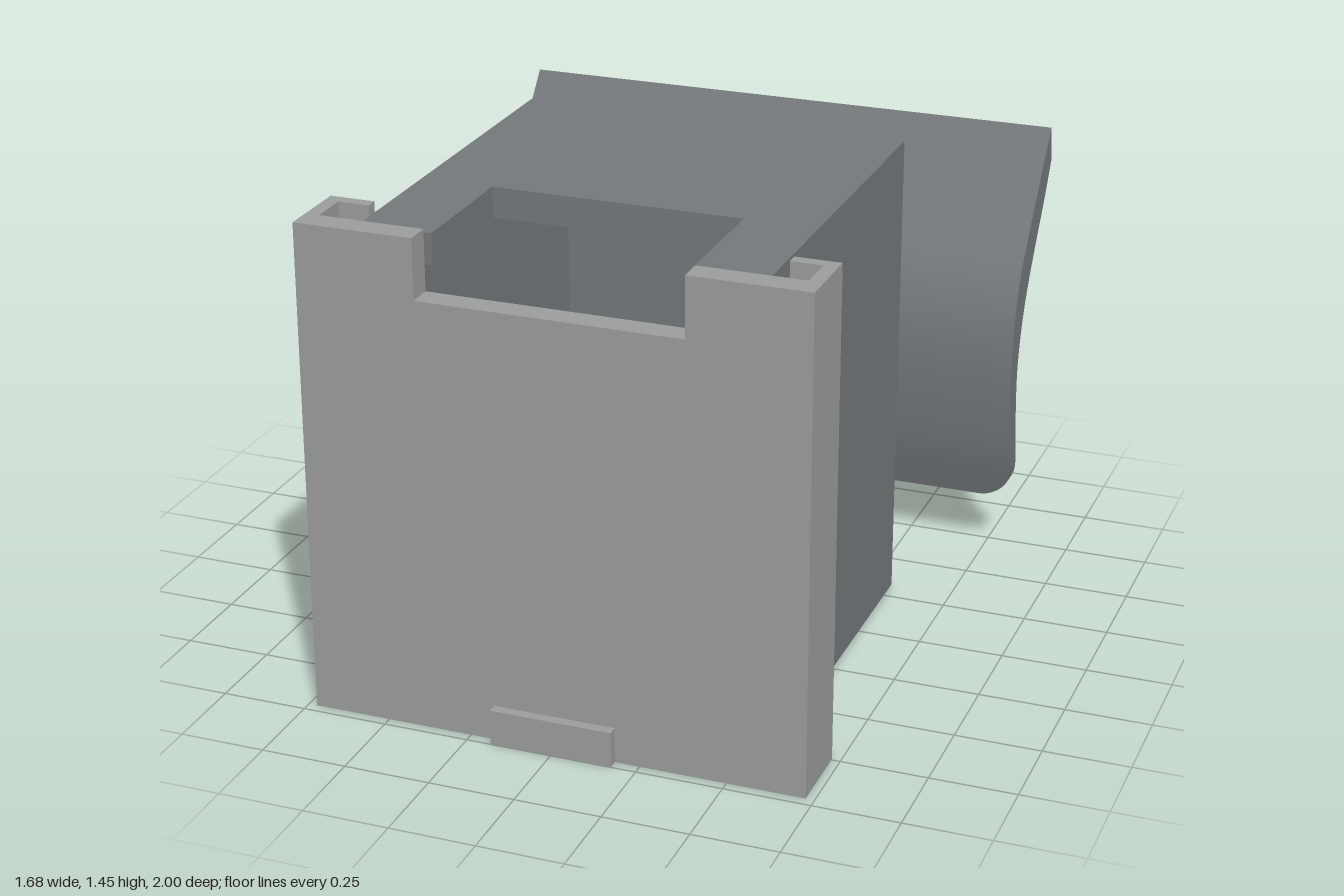
import * as THREE from 'three';
import { toCreasedNormals } from 'three/addons/utils/BufferGeometryUtils.js';

const body = new THREE.MeshStandardMaterial({ color: 0x73777a });
body.name = 'dark grey';
const pale = new THREE.MeshStandardMaterial({ color: 0x999c9b });
pale.name = 'light grey';

const polygon = (pts) => new THREE.Shape(pts.map(([x, y]) => new THREE.Vector2(x, y)));

// Outline in (x, z), raised from y0 to y1
function upright(shape, y0, y1) {
  const g = new THREE.ExtrudeGeometry(shape, { depth: y1 - y0, bevelEnabled: false });
  return g.rotateX(Math.PI / 2).translate(0, y1, 0);
}

// Outline in (z, y), extended from x0 to x1
function sideways(shape, x0, x1) {
  const g = new THREE.ExtrudeGeometry(shape, { depth: x1 - x0, bevelEnabled: false });
  return g.rotateY(-Math.PI / 2).translate(x1, 0, 0);
}

function block(x0, x1, y0, y1, z0, z1) {
  return new THREE.BoxGeometry(x1 - x0, y1 - y0, z1 - z0)
    .translate((x0 + x1) / 2, (y0 + y1) / 2, (z0 + z1) / 2);
}

// Curved panel: one four-cornered section per station, lower corners rounded
function panelGeometry() {
  const curve = (pts) => new THREE.CatmullRomCurve3(pts.map(([z, y]) => new THREE.Vector3(0, y, z)), false, 'centripetal');
  const front = curve([[-0.956, 1.296], [-0.86, 1.18], [-0.75, 1.045], [-0.655, 0.91], [-0.612, 0.79], [-0.597, 0.66], [-0.605, 0.5], [-0.63, 0.34], [-0.677, 0.182]]);
  const back = curve([[-0.976, 1.19], [-0.91, 1.085], [-0.82, 0.96], [-0.745, 0.845], [-0.695, 0.735], [-0.668, 0.61], [-0.672, 0.48], [-0.69, 0.34], [-0.715, 0.195]]);
  const n = 40, pos = [], idx = [];
  for (let i = 0; i <= n; i++) {
    const t = Math.sin((i / n) * Math.PI / 2);
    for (const [c, s] of [[front, 1], [front, -1], [back, -1], [back, 1]]) {
      const p = c.getPoint(t);
      const d = THREE.MathUtils.clamp((0.30 - p.y) / 0.12, 0, 1);
      pos.push(s * (0.72 + 0.12 * Math.sqrt(1 - d * d)), p.y, p.z);
    }
    if (i === n) break;
    for (let k = 0; k < 4; k++) {
      const a = i * 4 + k, b = i * 4 + (k + 1) % 4;
      idx.push(a, b, a + 4, b, b + 4, a + 4);
    }
  }
  const e = n * 4;
  idx.push(0, 2, 1, 0, 3, 2, e, e + 1, e + 2, e, e + 2, e + 3);
  const g = new THREE.BufferGeometry();
  g.setAttribute('position', new THREE.Float32BufferAttribute(pos, 3));
  g.setIndex(idx);
  g.computeVertexNormals();
  return toCreasedNormals(g, 0.5);
}

function roundedRect(w, y0, y1, r) {
  const s = new THREE.Shape();
  s.moveTo(-w + r, y0).lineTo(w - r, y0);
  s.absarc(w - r, y0 + r, r, -Math.PI / 2, 0);
  s.absarc(w - r, y1 - r, r, 0, Math.PI / 2);
  s.absarc(-w + r, y1 - r, r, Math.PI / 2, Math.PI);
  s.absarc(-w + r, y0 + r, r, Math.PI, Math.PI * 1.5);
  return s;
}

export function createModel() {
  const model = new THREE.Group();
  model.name = 'clipOnBox';
  const add = (name, geometry, material = body) => {
    const m = new THREE.Mesh(geometry, material);
    m.name = name;
    model.add(m);
  };

  // Hollow box, open at the front, with a slot in its top
  add('boxFloor', block(-0.575, 0.575, 0.02, 0.11, -0.29, 0.88));
  add('boxWalls', upright(polygon([
    [-0.575, -0.29], [0.575, -0.29], [0.575, 0.88], [0.43, 0.88],
    [0.43, -0.2], [-0.43, -0.2], [-0.43, 0.88], [-0.575, 0.88],
  ]), 0.11, 1.34));
  add('boxTop', upright(polygon([
    [-0.575, -0.29], [0.575, -0.29], [0.575, 0.88], [0.365, 0.88],
    [0.365, 0.485], [-0.365, 0.485], [-0.365, 0.88], [-0.575, 0.88],
  ]), 1.34, 1.43));

  // Sliding front cover, wrapped round the rails
  add('cover', upright(polygon([
    [-0.725, 0.97], [-0.725, 0.745], [-0.595, 0.745], [-0.595, 0.78], [-0.685, 0.78], [-0.685, 0.895],
    [0.685, 0.895], [0.685, 0.78], [0.595, 0.78], [0.595, 0.745], [0.725, 0.745], [0.725, 0.97],
  ]), 0, 1.27), pale);
  add('coverGrip', block(-0.178, 0.178, 0, 0.105, 0.97, 1), pale);

  for (const s of [-1, 1]) {
    const span = (a, b) => (s > 0 ? [a, b] : [-b, -a]);
    add('coverShoulder', upright(polygon([
      [0.38, 0.97], [0.38, 0.895], [0.685, 0.895], [0.685, 0.78],
      [0.595, 0.78], [0.595, 0.745], [0.725, 0.745], [0.725, 0.97],
    ].map(([x, z]) => [x * s, z])), 1.27, 1.445), pale);
    add('coverChannelStop', block(...span(0.595, 0.685), 0, 0.02, 0.78, 0.895), pale);

    // Rail with a small T-shaped edge
    add('rail', block(...span(0.575, 0.64), 0.03, 1.4, 0.8, 0.838));
    add('railNeck', block(...span(0.64, 0.65), 0.03, 1.4, 0.813, 0.825));
    add('railEdge', block(...span(0.65, 0.662), 0.03, 1.4, 0.805, 0.833));

    // Hooks on the back of the panel
    add('topHook', sideways(polygon([
      [-0.94, 1.14], [-0.974, 1.2], [-1, 1.07], [-0.968, 1.062], [-0.95, 1.12],
    ]), ...span(0.4, 0.635)));
    add('sideHook', sideways(polygon([
      [-0.66, 0.475], [-0.817, 0.5], [-0.845, 0.325], [-0.67, 0.295],
    ]), ...span(0.7, 0.75)));
    add('sideHookLip', sideways(polygon([
      [-0.78, 0.492], [-0.817, 0.5], [-0.845, 0.325], [-0.803, 0.318],
    ]), ...span(0.67, 0.7)));
  }

  // Dovetail tongue on the box and the grooved plate that slides over it
  add('dovetailTongue', upright(polygon([
    [-0.255, -0.29], [-0.355, -0.412], [0.355, -0.412], [0.255, -0.29],
  ]), 0.255, 1.19));
  add('mountPlateBase', block(-0.49, 0.49, 0.075, 0.255, -0.54, -0.305));
  add('mountPlate', upright(polygon([
    [-0.49, -0.305], [-0.49, -0.54], [0.49, -0.54], [0.49, -0.305], [0.275, -0.305],
    [0.37, -0.42], [0.363, -0.436], [0.345, -0.416],
    [-0.345, -0.416], [-0.363, -0.436], [-0.37, -0.42], [-0.275, -0.305],
  ]), 0.255, 1.31));

  // Neck between the plate and the curved panel
  const neck = new THREE.ExtrudeGeometry(roundedRect(0.428, 0.39, 0.96, 0.04), { depth: 0.12, bevelEnabled: false });
  add('neck', toCreasedNormals(neck.translate(0, 0, -0.657), 0.5));
  add('curvedPanel', panelGeometry());

  // Springy catch under the panel
  add('bottomCatch', sideways(polygon([
    [-0.68, 0.29], [-0.72, 0.295], [-0.79, 0.275], [-0.832, 0.22], [-0.812, 0.14], [-0.834, 0.112],
    [-0.795, 0.05], [-0.752, 0.082], [-0.757, 0.18], [-0.715, 0.22], [-0.68, 0.23],
  ]), -0.12, 0.12));

  return model;
}
